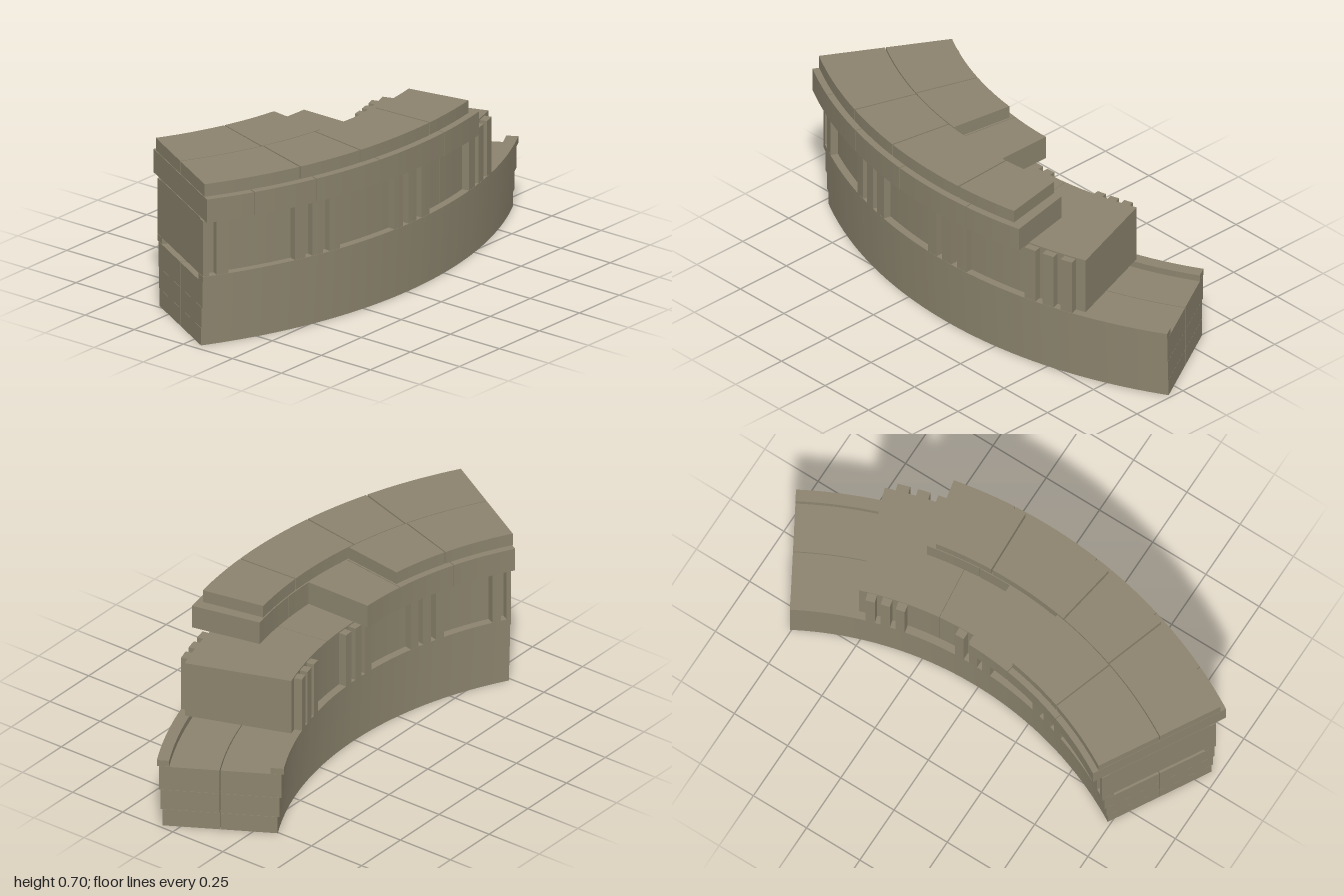
import * as THREE from 'three';

const CX = -1.627, CZ = -0.009; // centre of the arc
const rad = THREE.MathUtils.degToRad;

export function createModel() {
  const group = new THREE.Group();
  group.name = 'curvedStoneWall';
  const stone = new THREE.MeshStandardMaterial({ color: 0x8c846e });
  stone.name = 'stone';

  // Curved block: radii r0..r1, angles a0..a1 in degrees (positive towards +z), heights y0..y1
  function block(name, r0, r1, a0, a1, y0, y1) {
    const s = new THREE.Shape();
    s.absarc(0, 0, r1, rad(-a1), rad(-a0), false);
    s.absarc(0, 0, r0, rad(-a0), rad(-a1), true);
    const g = new THREE.ExtrudeGeometry(s, {
      depth: y1 - y0, bevelEnabled: false,
      curveSegments: Math.max(1, Math.round((a1 - a0) / 2.5)),
    });
    g.rotateX(-Math.PI / 2);
    g.translate(CX, y0, CZ);
    const m = new THREE.Mesh(g, stone);
    m.name = name;
    group.add(m);
  }

  // A row of stones separated by thin joints
  function row(name, r0, r1, angles, y0, y1, gap = 0.06) {
    for (let i = 0; i + 1 < angles.length; i++) {
      const a = angles[i] + (i ? gap : 0);
      const b = angles[i + 1] - (i + 2 < angles.length ? gap : 0);
      block(name, r0, r1, a, b, y0, y1);
    }
  }

  // Stepped foundation, each course split down the middle
  const MID = 1.722;
  [[1.492, 1.952, 0, 0.074, 0.001],
    [1.486, 1.959, 0.075, 0.163, 0.002],
    [1.478, 1.966, 0.164, 0.27, 0.002]].forEach(([r0, r1, y0, y1, g]) => {
    block('innerFoundation', r0, MID - g, -30, 30, y0, y1);
    block('outerFoundation', MID + g, r1, -30, 30, y0, y1);
  });

  // Narrow ledges carrying the wall
  block('innerLedge', 1.468, 1.52, -30, 30, 0.271, 0.298);
  block('outerLedge', 1.925, 1.974, -30, 30, 0.271, 0.298);

  // Wall body
  row('wallStone', 1.5, 1.943, [-19.5, -6.6, 5.6, 17.8, 30], 0.299, 0.54, 0.03);

  // Groups of three pilasters on both faces
  for (const centre of [-15, 0, 15, 30]) {
    for (const offset of [-2.44, 0, 2.44]) {
      const a0 = centre + offset - 0.75;
      const a1 = Math.min(centre + offset + 0.75, 30);
      if (a0 >= 30) continue;
      block('innerPilaster', 1.467, 1.505, a0, a1, 0.299, 0.534);
      block('outerPilaster', 1.938, 1.974, a0, a1, 0.299, 0.534);
    }
  }

  // Overhanging coping, broken off further along on the inner side
  row('innerCoping', 1.426, MID, [0.3, 8, 19, 30], 0.543, 0.642);
  row('outerCoping', MID, 2.018, [-11.9, -4.3, 6.8, 16.1, 24.2, 30], 0.543, 0.642);

  // Cap slabs
  row('innerCap', 1.451, MID - 0.002, [8.2, 18, 30], 0.645, 0.698, 0.1);
  row('outerCap', MID + 0.002, 1.992, [-10.7, -2.5, 9.2, 17.8, 30], 0.645, 0.698, 0.1);

  return group;
}
